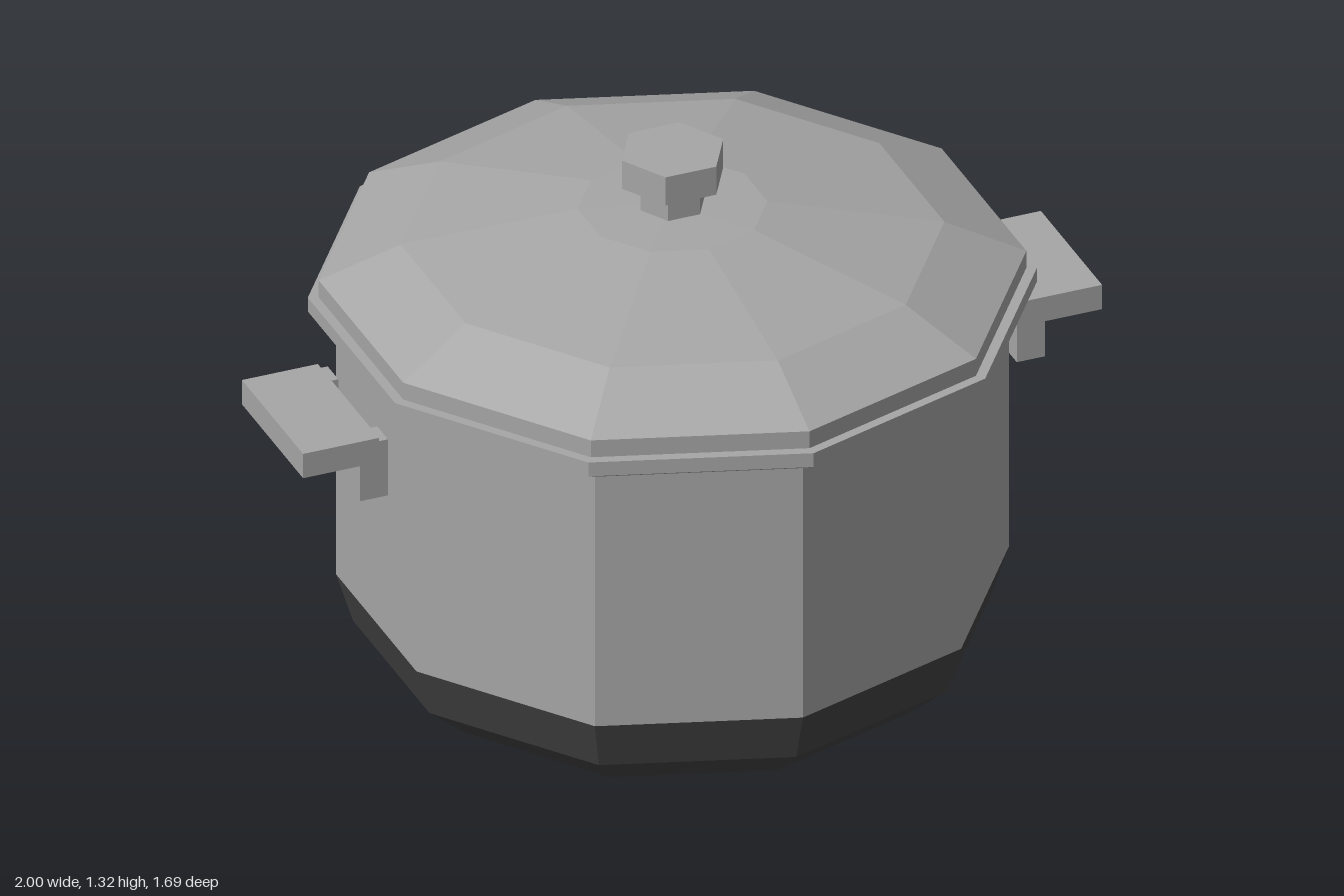
import * as THREE from 'three';

const SIDES = 10;

export function createModel() {
  const model = new THREE.Group();
  model.name = 'cookingPot';

  const steel = new THREE.MeshStandardMaterial({ color: 0xa6a6a6, flatShading: true });
  steel.name = 'steel';
  const darkBase = new THREE.MeshStandardMaterial({ color: 0x444444, flatShading: true });
  darkBase.name = 'dark base';

  const add = (parent, name, geometry, material, x = 0, y = 0, z = 0) => {
    const mesh = new THREE.Mesh(geometry, material);
    mesh.name = name;
    mesh.position.set(x, y, z);
    parent.add(mesh);
    return mesh;
  };

  // Faceted ring from a [radius, height] profile running upwards, corners on +z and -z
  const turned = (name, profile, material) =>
    add(model, name, new THREE.LatheGeometry(profile.map(([r, y]) => new THREE.Vector2(r, y)), SIDES), material);

  // Pot: dark bottom, straight wall, flared rim
  turned('potBase', [[0, 0], [0.63, 0], [0.74, 0.095], [0.78, 0.222]], darkBase);
  turned('potWall', [[0.78, 0.222], [0.78, 0.89]], steel);
  turned('rim', [[0.78, 0.89], [0.845, 0.928], [0.845, 0.965], [0.8, 0.965]], steel);

  // Lid with a shallow dome
  turned('lid', [[0.8, 0.965], [0.82, 0.965], [0.82, 1.01], [0.63, 1.097], [0.22, 1.172], [0, 1.178]], steel);

  // Hexagonal knob, corners on +x and -x
  const hexagon = (name, radius, bottom, top) => {
    const mesh = add(model, name, new THREE.CylinderGeometry(radius, radius, top - bottom, 6), steel, 0, (bottom + top) / 2, 0);
    mesh.rotation.y = Math.PI / 6;
  };
  hexagon('knobStem', 0.08, 1.165, 1.245);
  hexagon('knobCap', 0.127, 1.245, 1.32);

  // Side handles: a flat grip on two posts
  for (const [name, side] of [['leftHandle', 1], ['rightHandle', -1]]) {
    const handle = new THREE.Group();
    handle.name = name;
    add(handle, 'grip', new THREE.BoxGeometry(0.19, 0.065, 0.366), steel, side * 0.905, 0.797, -0.003);
    for (const z of [0.147, -0.15]) {
      add(handle, 'post', new THREE.BoxGeometry(0.07, 0.15, 0.064), steel, side * 0.822, 0.745, z);
    }
    model.add(handle);
  }

  return model;
}
